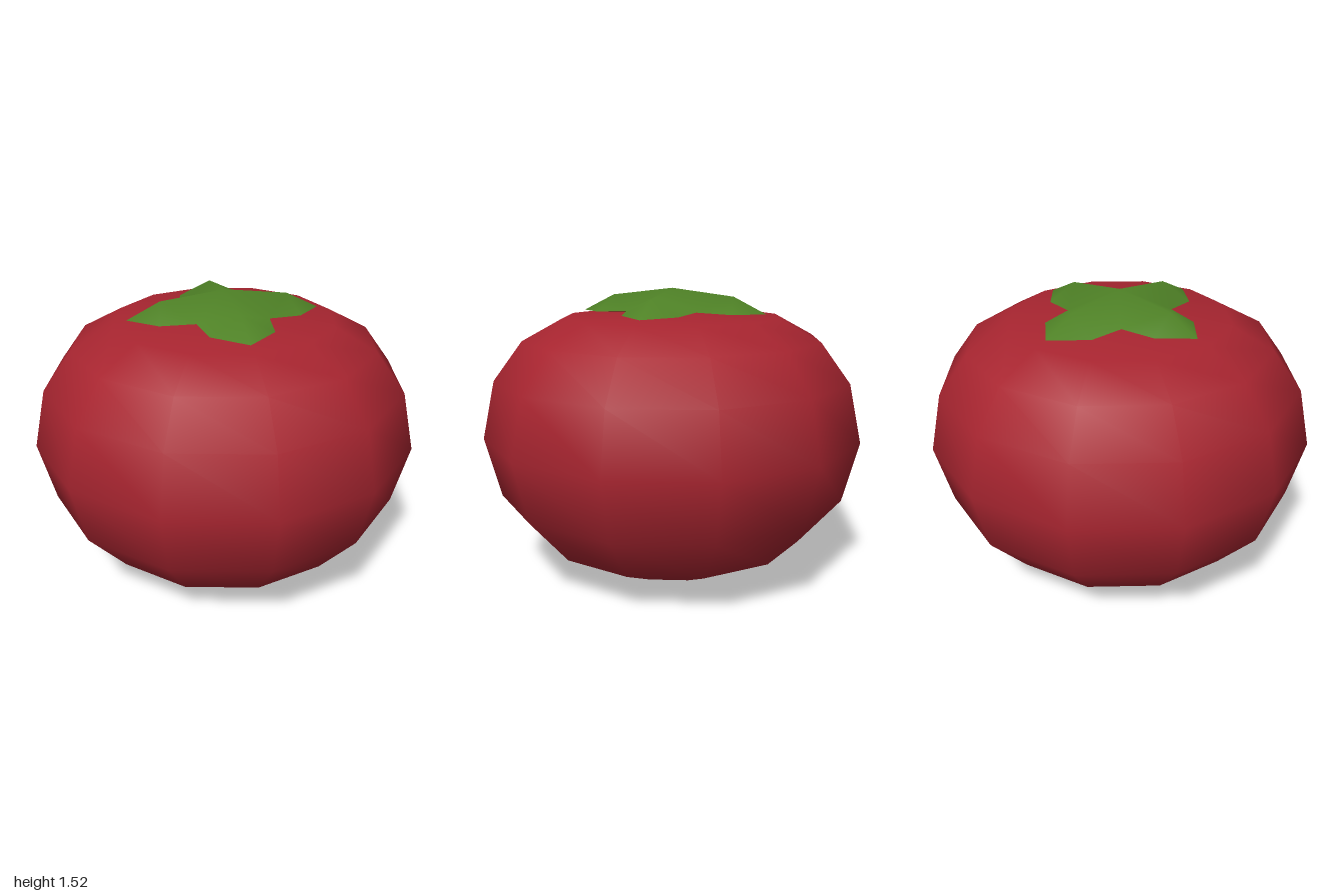
import * as THREE from 'three';
import { mergeVertices } from 'three/addons/utils/BufferGeometryUtils.js';

const red = new THREE.MeshStandardMaterial({ color: 0xa82530 });
red.name = 'fruit red';
const green = new THREE.MeshStandardMaterial({ color: 0x4f8226 });
green.name = 'leaf green';

// Squashed round body with twelve sides and smooth normals
function fruitGeometry() {
  const profile = [
    [0, 0], [0.39, 0.045], [0.705, 0.195], [0.92, 0.445], [1, 0.76],
    [0.935, 1.06], [0.785, 1.26], [0.57, 1.375], [0, 1.4],
  ].map(([r, y]) => new THREE.Vector2(r, y));
  const lathe = new THREE.LatheGeometry(profile, 12);
  lathe.deleteAttribute('normal');
  lathe.deleteAttribute('uv');
  const geometry = mergeVertices(lathe, 1e-4);
  geometry.computeVertexNormals();
  return geometry;
}

// Four pointed leaves joined in a low dome, closed underneath
function calyxGeometry() {
  const positions = [];
  const index = [];
  const add = (x, y, z) => positions.push(x, y, z) / 3 - 1;
  const top = add(0, 1.52, 0);
  const rim = [];
  const ridges = [];
  for (let k = 0; k < 4; k++) {
    const c = Math.round(Math.cos(k * Math.PI / 2));
    const s = Math.round(Math.sin(k * Math.PI / 2));
    // Point given by its distance along the leaf and to its side
    const point = (along, side, y) => add(s * along + c * side, y, c * along - s * side);
    const w = k % 2 ? 0.145 : 0.16;
    ridges.push(point(0.33, 0, 1.48));
    rim.push(point(0.36, -w, 1.4), point(0.5, 0, 1.395),
      point(0.36, w, 1.4), point(0.185, 0.185, 1.41));
  }
  // Upper faces
  for (let k = 0; k < 4; k++) {
    const at = (i) => rim[(k * 4 + i + 16) % 16];
    const ridge = ridges[k];
    index.push(top, at(-1), ridge, top, ridge, at(3));
    for (let i = -1; i < 3; i++) index.push(ridge, at(i), at(i + 1));
  }
  // Underside has its own corners so the rim stays sharp
  const base = add(0, 1.4, 0);
  const lower = rim.map((i) => add(...positions.slice(i * 3, i * 3 + 3)));
  lower.forEach((p, i) => index.push(base, lower[(i + 1) % 16], p));

  const geometry = new THREE.BufferGeometry();
  geometry.setAttribute('position', new THREE.Float32BufferAttribute(positions, 3));
  geometry.setIndex(index);
  geometry.computeVertexNormals();
  return geometry;
}

export function createModel() {
  const model = new THREE.Group();
  model.name = 'persimmon';
  const fruit = new THREE.Mesh(fruitGeometry(), red);
  fruit.name = 'fruit';
  const calyx = new THREE.Mesh(calyxGeometry(), green);
  calyx.name = 'calyx';
  model.add(fruit, calyx);
  return model;
}
